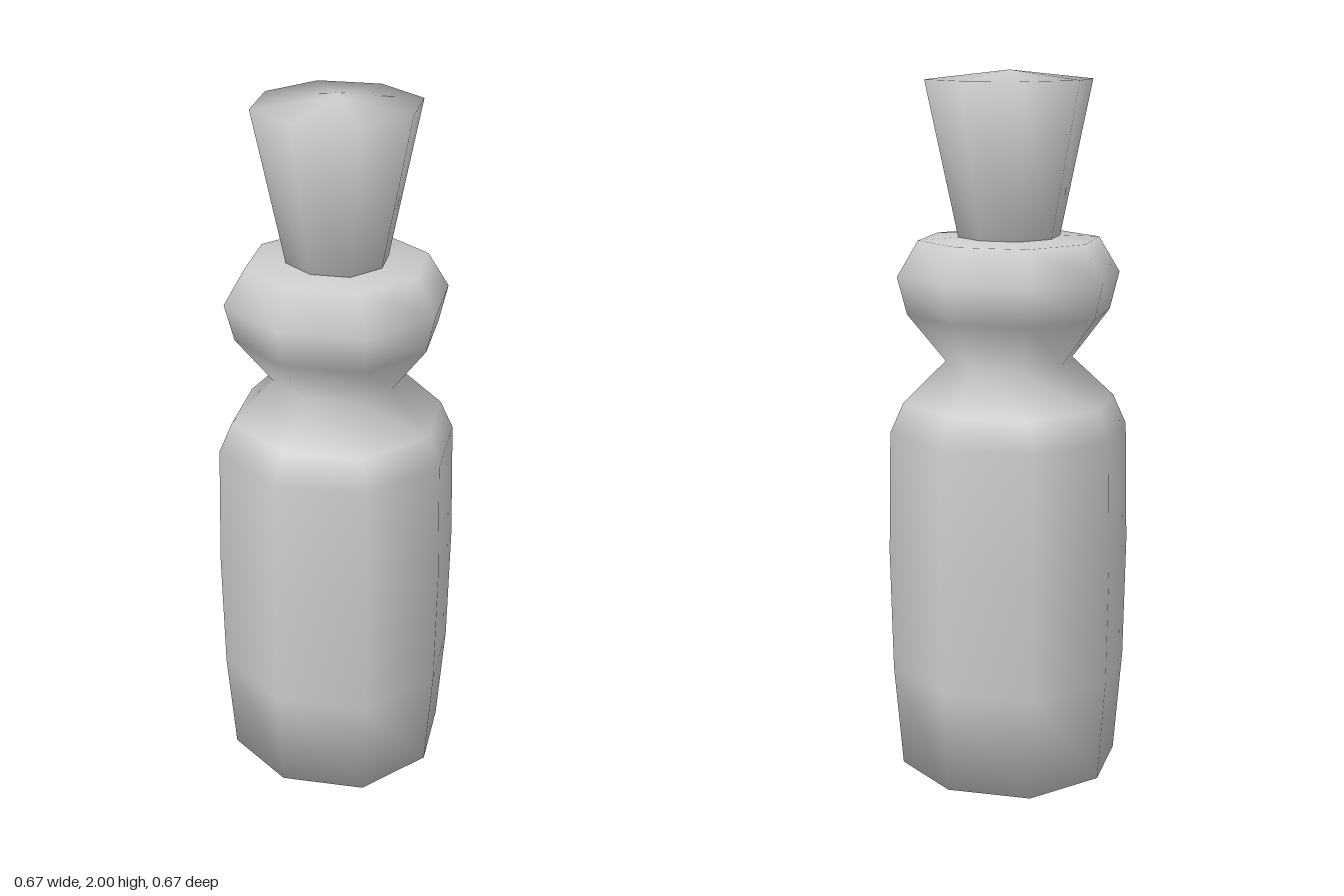
import * as THREE from 'three';

const SIDES = 8;

// Smooth eight-sided turned form; every second corner sits slightly further out.
function turned(name, profile) {
  const points = profile.map(([r, y]) => new THREE.Vector2(r, y));
  const geometry = new THREE.LatheGeometry(points, SIDES);
  const pos = geometry.attributes.position;
  for (let i = 0; i < pos.count; i++) {
    const ring = Math.floor(i / profile.length);
    const k = ring % 2 ? 1.033 : 1;
    pos.setX(i, pos.getX(i) * k);
    pos.setZ(i, pos.getZ(i) * k);
  }
  const mesh = new THREE.Mesh(
    geometry,
    new THREE.MeshStandardMaterial({ color: 0xcccccc })
  );
  mesh.name = name;
  return mesh;
}

export function createModel() {
  const group = new THREE.Group();
  group.name = 'stopperedBottle';

  // Body, pinched neck and bulging collar
  group.add(turned('bottle', [
    [0, 0], [0.306, 0.005], [0.33, 0.3], [0.337, 0.65], [0.33, 1.0],
    [0.293, 1.085], [0.176, 1.2], [0.28, 1.335], [0.306, 1.44],
    [0.248, 1.54], [0, 1.555],
  ]));

  // Tapered stopper with a shallow domed top
  group.add(turned('stopper', [
    [0, 1.535], [0.137, 1.535], [0.227, 1.975], [0, 2.0],
  ]));

  return group;
}
